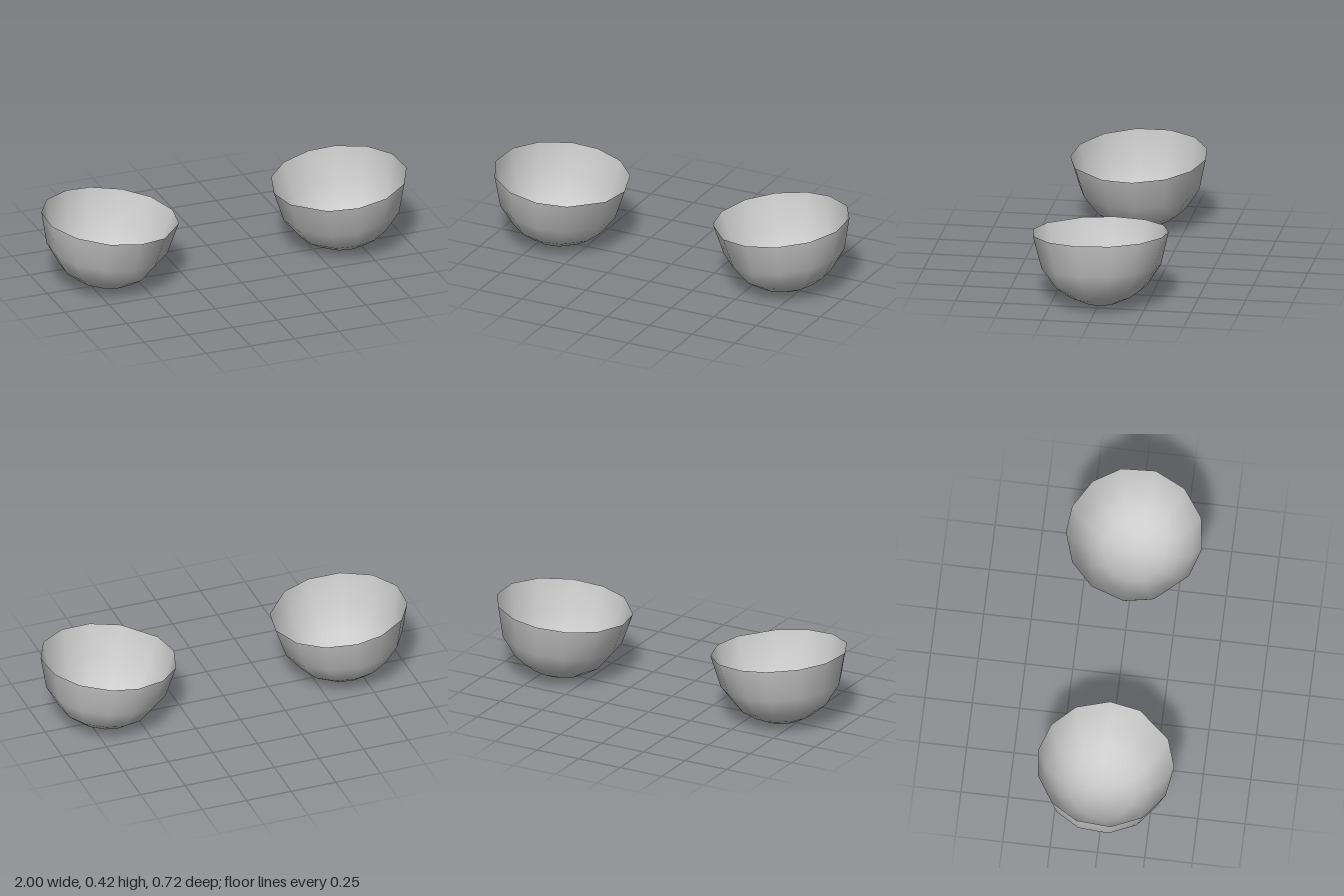
import * as THREE from 'three';

// Bowl profile from base to rim: [radius, height]
const PROFILE = [[0.086, 0.01], [0.167, 0.046], [0.238, 0.097], [0.318, 0.212], [0.361, 0.386]];
// Slightly uneven facet angles around the bowl, in degrees (0 = outer side, 90 = front)
const ANGLES = [11, 39.5, 68, 95, 121, 156.5, 183, 212, 238.5, 265, 288, 315.5, 342];
const CENTRE_X = 0.645, DEPTH = 0.386;
const TILT_X = 0.092, TILT_Z = -0.03; // slope of the rim plane

// Open thin shell lofted from rings; side is +1 for left, -1 for right
function bowlGeometry(side) {
  const n = ANGLES.length;
  const positions = [], index = [];
  const addPoint = (r, h, a) => {
    const dx = r * Math.cos(a), dz = r * Math.sin(a);
    const x = CENTRE_X + TILT_X * (DEPTH - h) + dx;
    const z = TILT_Z * (DEPTH - h) + dz;
    positions.push(side * x, h + TILT_X * dx + TILT_Z * dz, z);
  };
  const addFace = (a, b, c) => index.push(...(side > 0 ? [a, b, c] : [a, c, b]));

  addPoint(0, 0, 0);
  for (const [r, h] of PROFILE) {
    for (const deg of ANGLES) addPoint(r, h, THREE.MathUtils.degToRad(deg));
  }
  for (let j = 0; j < n; j++) {
    const k = (j + 1) % n;
    addFace(0, 1 + j, 1 + k); // base fan
    for (let i = 0; i < PROFILE.length - 1; i++) {
      const low = 1 + i * n, high = low + n;
      addFace(low + j, high + j, low + k);
      addFace(low + k, high + j, high + k);
    }
  }

  const geometry = new THREE.BufferGeometry();
  geometry.setAttribute('position', new THREE.Float32BufferAttribute(positions, 3));
  geometry.setIndex(index);
  geometry.computeVertexNormals();
  return geometry;
}

export function createModel() {
  const group = new THREE.Group();
  group.name = 'cupPair';
  const material = new THREE.MeshStandardMaterial({ color: 0xcccccc, side: THREE.DoubleSide });
  for (const [name, side] of [['leftCup', 1], ['rightCup', -1]]) {
    const cup = new THREE.Mesh(bowlGeometry(side), material);
    cup.name = name;
    group.add(cup);
  }
  return group;
}
